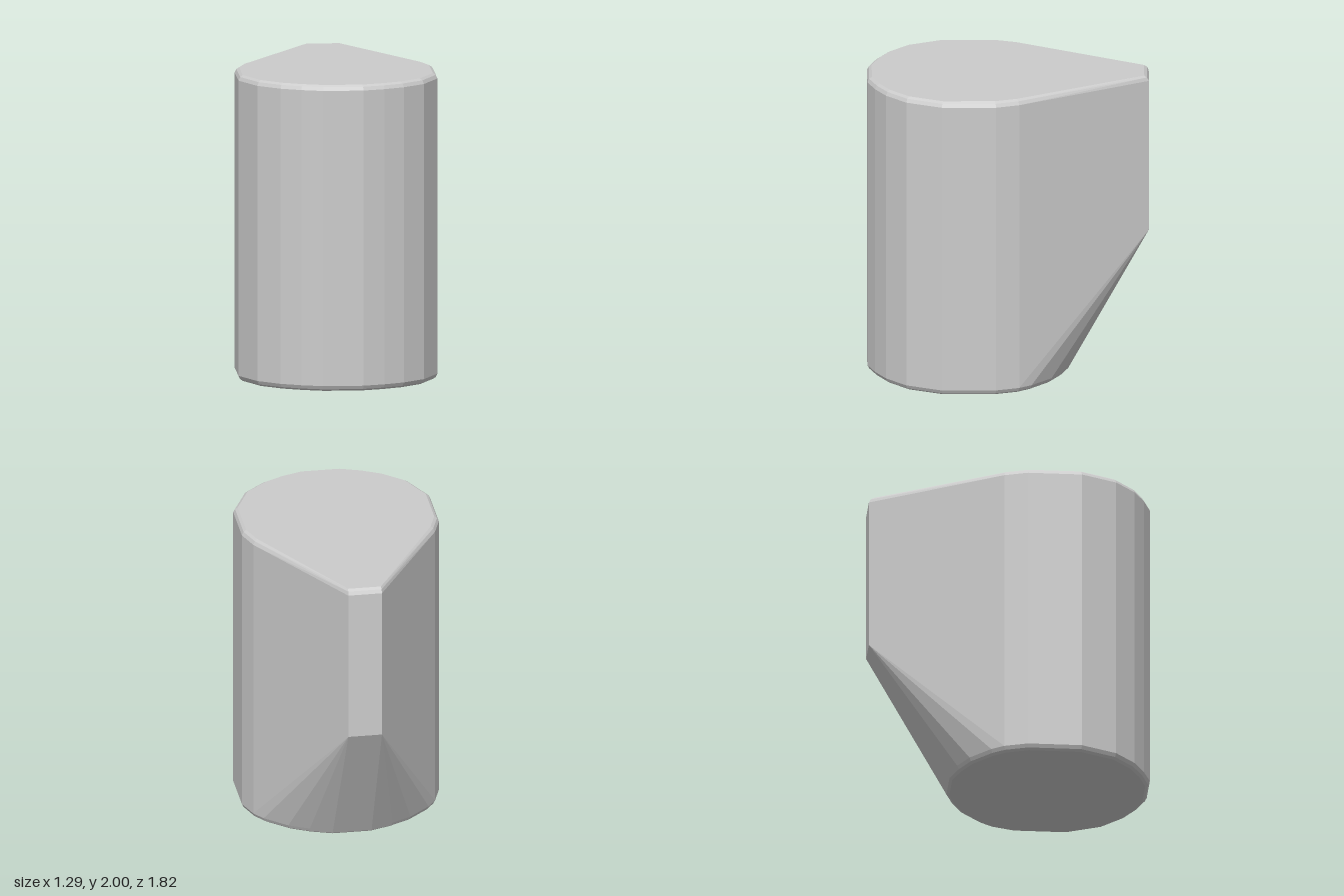
import * as THREE from 'three';
import { ConvexGeometry } from 'three/addons/geometries/ConvexGeometry.js';

const CENTRE_Z = 0.255;

// Half outlines as [x, z]; mirrored to the other side in x
const frontArc = [[0.13, 0.91], [0.27, 0.86], [0.4, 0.79], [0.54, 0.66], [0.645, 0.43]];
const backArc = frontArc.map(([x, z]) => [x, 2 * CENTRE_Z - z]);
const shoulder = [0.595, -0.07];
const tip = [0.11, -0.91];

const bottomOutline = [...frontArc, ...backArc, shoulder];
const topOutline = [...frontArc, backArc[4], shoulder, tip];

// Rounded rim: [distance from the end face, inset towards the centre]
const rim = [[0, 0.03], [0.012, 0.012], [0.035, 0]];

function addRing(points, outline, y, inset) {
  for (const [x, z] of outline) {
    const k = 1 - inset / Math.hypot(x, z - CENTRE_Z);
    for (const side of [-1, 1]) {
      points.push(new THREE.Vector3(side * x * k, y, CENTRE_Z + (z - CENTRE_Z) * k));
    }
  }
}

export function createModel() {
  const group = new THREE.Group();
  group.name = 'teardropBlock';

  // Round base, teardrop top, rounded rims
  const points = [];
  for (const [h, inset] of rim) {
    addRing(points, bottomOutline, h, inset);
    addRing(points, topOutline, 2 - h, inset);
  }
  // Lower end of the narrow back face, where the underside slopes to the base
  addRing(points, [tip], 0.95, 0);

  const body = new THREE.Mesh(
    new ConvexGeometry(points),
    new THREE.MeshStandardMaterial({ color: 0xcccccc, flatShading: true })
  );
  body.name = 'body';
  group.add(body);
  return group;
}
